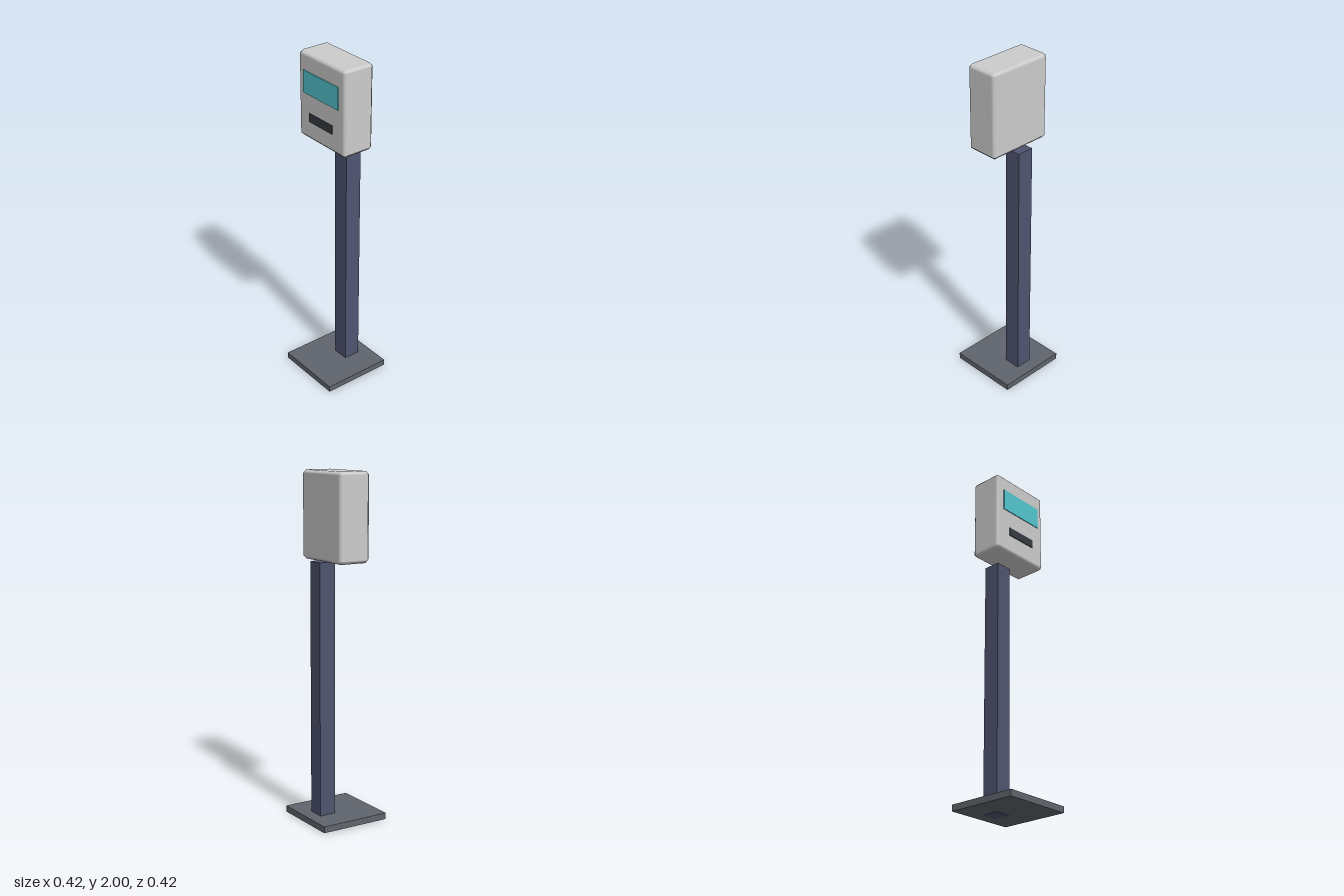
import * as THREE from 'three';

function box(name, color, [x0, x1], [y0, y1], [z0, z1]) {
  const mesh = new THREE.Mesh(
    new THREE.BoxGeometry(x1 - x0, y1 - y0, z1 - z0),
    new THREE.MeshStandardMaterial({ color })
  );
  mesh.position.set((x0 + x1) / 2, (y0 + y1) / 2, (z0 + z1) / 2);
  mesh.name = name;
  return mesh;
}

// Box with a flat chamfer of width r and normals that blend across it
function chamferedBox(w, h, d, r) {
  const geometry = new THREE.BoxGeometry(1, 1, 1, 3, 3, 3);
  const { position, normal } = geometry.attributes;
  const half = [w / 2, h / 2, d / 2];
  const inset = [0, 0, r / 2, r * 2 / 3]; // by number of faces meeting at the vertex
  for (let i = 0; i < position.count; i++) {
    const p = [position.getX(i), position.getY(i), position.getZ(i)];
    const outer = p.map(v => Math.abs(v) > 0.4);
    const count = outer.filter(Boolean).length;
    position.setXYZ(i, ...p.map((v, a) => Math.sign(v) * (half[a] - (outer[a] ? inset[count] : r))));
    const n = new THREE.Vector3(...p.map((v, a) => (outer[a] ? Math.sign(v) : 0))).normalize();
    normal.setXYZ(i, n.x, n.y, n.z);
  }
  return geometry;
}

export function createModel() {
  const model = new THREE.Group();
  model.name = 'payTerminal';

  // Stand: the post passes through the base plate to the floor
  model.add(
    box('basePlate', 0x5f646c, [-0.21, 0.21], [0.001, 0.038], [-0.21, 0.21]),
    box('post', 0x4f5470, [-0.05, 0.05], [0, 1.502], [-0.135, -0.035])
  );

  // Housing
  const housing = new THREE.Mesh(
    chamferedBox(0.4, 0.5, 0.2, 0.02),
    new THREE.MeshStandardMaterial({ color: 0xcccccc })
  );
  housing.name = 'housing';
  housing.position.y = 1.75;
  model.add(housing);

  // Screen and slot, standing slightly proud of the front
  model.add(
    box('screen', 0x52c6ce, [-0.15, 0.15], [1.77, 1.9], [0.095, 0.105]),
    box('slot', 0x363b42, [-0.1, 0.1], [1.613, 1.663], [0.095, 0.105])
  );
  return model;
}
